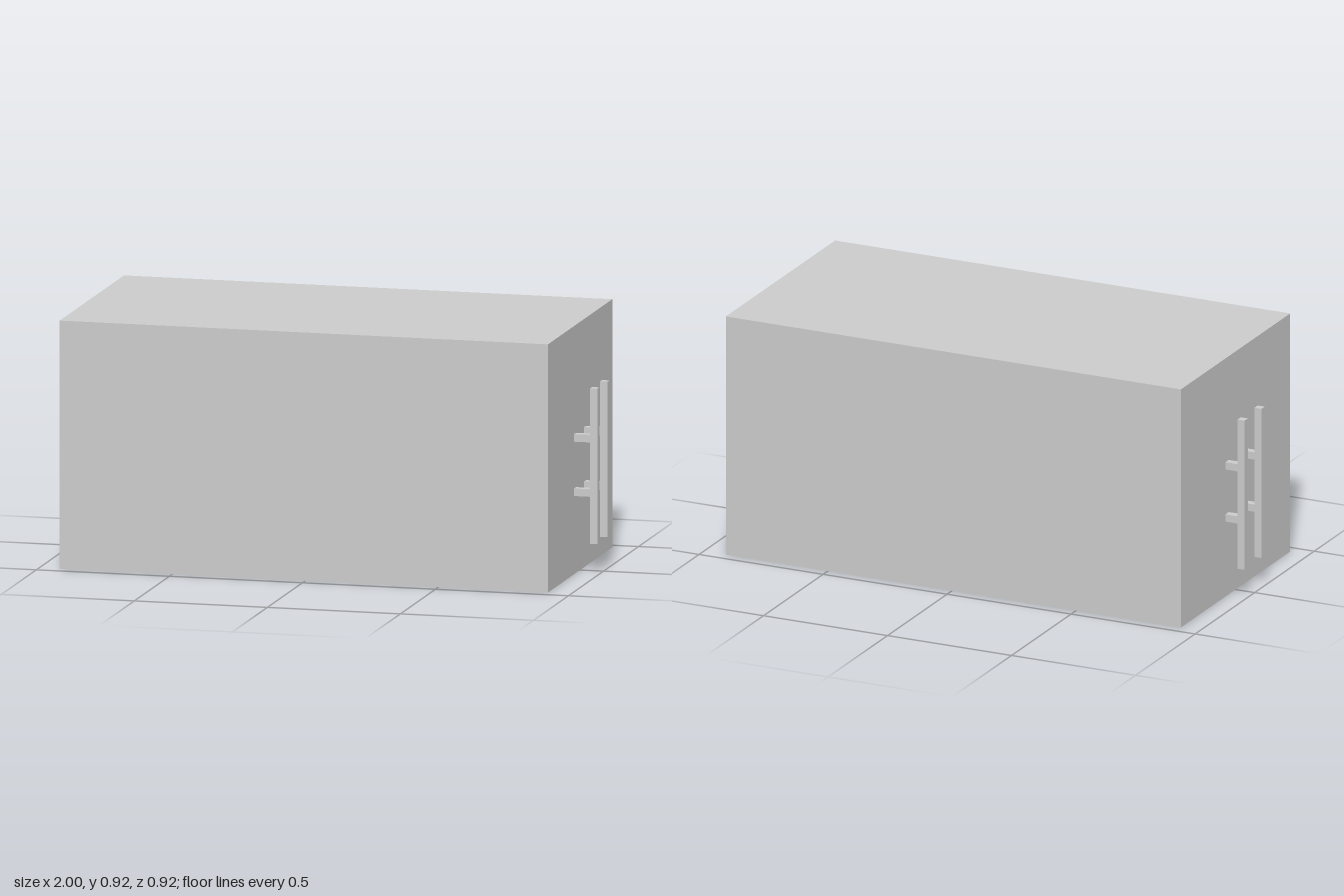
import * as THREE from 'three';

const material = new THREE.MeshStandardMaterial({ color: 0xcccccc, flatShading: true });

// Box given by its minimum and maximum corners
function box(name, min, max) {
  const size = max.map((v, i) => v - min[i]);
  const mesh = new THREE.Mesh(new THREE.BoxGeometry(...size), material);
  mesh.name = name;
  mesh.position.set(...max.map((v, i) => (v + min[i]) / 2));
  return mesh;
}

// Upright bar held off the end face by two short posts
function createHandle(side, z, faceX) {
  const handle = new THREE.Group();
  handle.name = side > 0 ? 'leftHandle' : 'rightHandle';
  const t = 0.014; // half thickness
  const span = (a, b) => [Math.min(side * a, side * b), Math.max(side * a, side * b)];

  const [barMin, barMax] = span(0.972, 1);
  handle.add(box('handleBar', [barMin, 0.115, z - t], [barMax, 0.69, z + t]));

  const [postMin, postMax] = span(faceX, 0.972);
  for (const y of [0.303, 0.504]) {
    handle.add(box('handlePost', [postMin, y - t, z - t], [postMax, y + t, z + t]));
  }
  return handle;
}

export function createModel() {
  const model = new THREE.Group();
  model.name = 'cabinet';

  // Main body, a double cube
  model.add(box('body', [-0.923, 0, -0.459], [0.912, 0.918, 0.459]));

  // A pair of handles on each end
  for (const [side, faceX] of [[1, 0.912], [-1, 0.923]]) {
    for (const z of [-0.071, 0.071]) model.add(createHandle(side, z, faceX));
  }
  return model;
}
